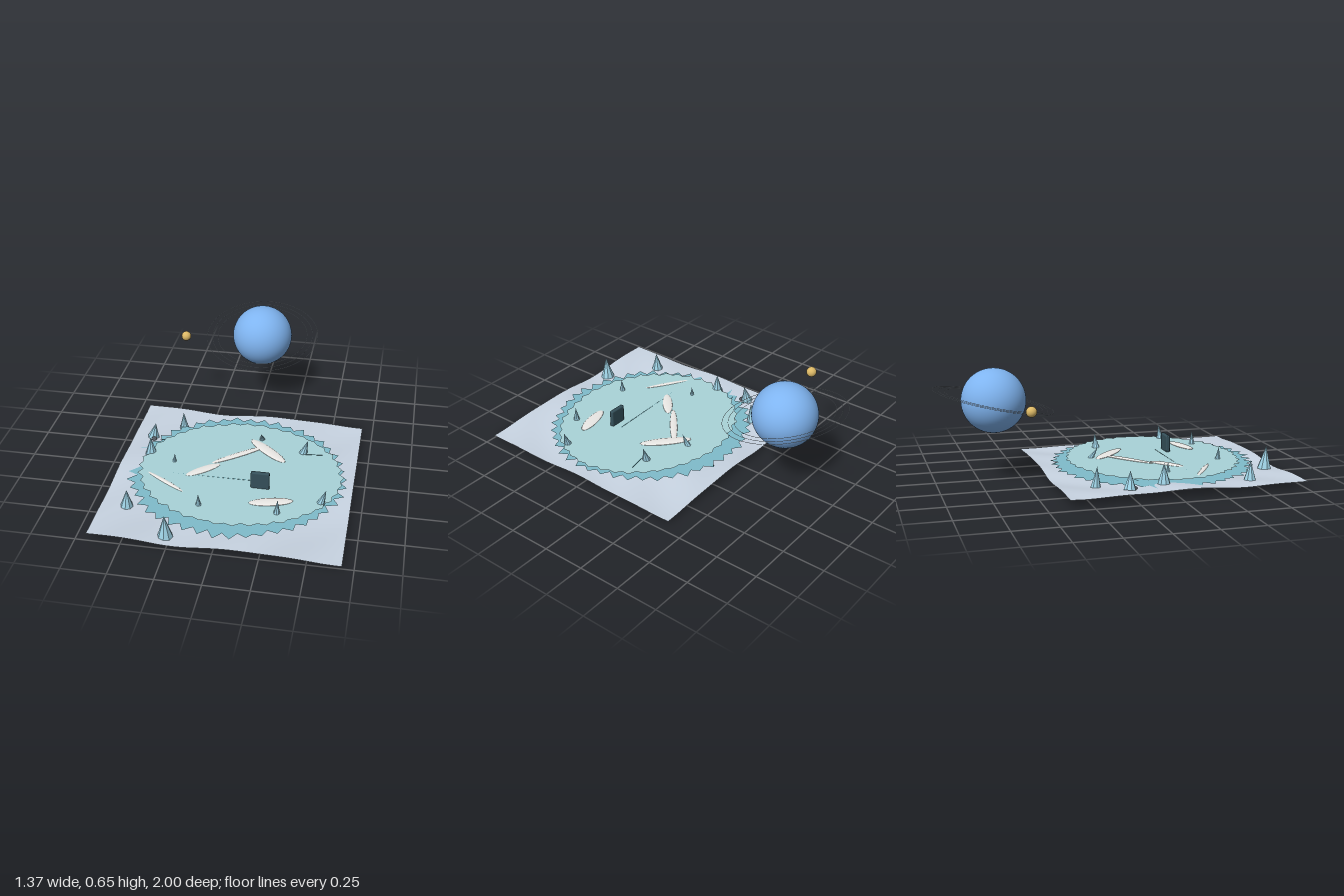
import * as THREE from 'three';
import { RoundedBoxGeometry } from 'three/addons/geometries/RoundedBoxGeometry.js';

const mat = (color, extra = {}) => new THREE.MeshStandardMaterial({ color, ...extra });
const UP = new THREE.Vector3(0, 1, 0);

function seeded(seed) {
  return () => {
    seed = (seed * 16807) % 2147483647;
    return seed / 2147483647;
  };
}

// Height of the snow field
const groundY = (x, z) => 0.033 - 0.008 * x + 0.01 * Math.cos(7.5 * (x - 0.2))
  + 0.006 * Math.cos(7 * (z - 0.25)) + 0.003 * Math.sin(14 * (x + z));

// Flat sheet with a jagged outline
function jaggedSheet(rx, rz, jitter, count, seed) {
  const rnd = seeded(seed);
  const shape = new THREE.Shape();
  for (let i = 0; i < count; i++) {
    const a = (i / count) * Math.PI * 2;
    const k = 1 + (i % 2 ? 1 : -1) * jitter * (0.3 + 0.7 * rnd());
    const x = Math.cos(a) * rx * k, y = Math.sin(a) * rz * k;
    i ? shape.lineTo(x, y) : shape.moveTo(x, y);
  }
  return new THREE.ShapeGeometry(shape).rotateX(-Math.PI / 2);
}

export function createModel() {
  const model = new THREE.Group();
  const add = (name, geometry, material, x = 0, y = 0, z = 0, parent = model) => {
    const mesh = new THREE.Mesh(geometry, material);
    mesh.name = name;
    mesh.position.set(x, y, z);
    parent.add(mesh);
    return mesh;
  };
  const group = (name) => {
    const g = new THREE.Group();
    g.name = name;
    model.add(g);
    return g;
  };

  // Rolling snow field
  const ground = new THREE.PlaneGeometry(1.372, 1.372, 60, 60).rotateX(-Math.PI / 2).translate(0, 0, 0.314);
  const p = ground.attributes.position;
  for (let i = 0; i < p.count; i++) p.setY(i, groundY(p.getX(i), p.getZ(i)));
  ground.computeVertexNormals();
  add('snowField', ground, mat(0xc8d4e2, { side: THREE.DoubleSide }));

  // Frozen lake: darker rim sheet below, pale sheet above
  add('iceRim', jaggedSheet(0.615, 0.59, 0.055, 90, 11),
    mat(0x7fbccb, { side: THREE.DoubleSide }), 0.01, 0.051, 0.305);
  const sheet = add('iceSheet', jaggedSheet(0.585, 0.51, 0.03, 80, 29),
    mat(0xa9d3d8, { side: THREE.DoubleSide }), 0.03, 0.071, 0.31);
  sheet.rotation.z = -0.008;

  // Ice spires: base x, base z, tip x, tip y, tip z, radius
  const spires = group('iceSpires');
  const ice = mat(0x9fd3e6, { flatShading: true });
  [
    [-0.41, -0.16, -0.41, 0.145, -0.15, 0.03],
    [-0.57, -0.01, -0.55, 0.145, 0.0, 0.036],
    [-0.53, 0.2, -0.53, 0.17, 0.2, 0.037],
    [-0.54, 0.71, -0.535, 0.15, 0.715, 0.036],
    [-0.27, 0.92, -0.27, 0.163, 0.93, 0.043],
    [0.355, 0.05, 0.39, 0.155, 0.05, 0.033],
    [0.51, 0.53, 0.55, 0.15, 0.53, 0.033],
    [-0.14, 0.67, -0.14, 0.145, 0.68, 0.027],
    [0.295, 0.67, 0.3, 0.153, 0.67, 0.026],
    [-0.37, 0.28, -0.365, 0.13, 0.28, 0.02],
    [0.1, -0.07, 0.1, 0.13, -0.01, 0.025],
  ].forEach(([bx, bz, tx, ty, tz, r]) => {
    const base = new THREE.Vector3(bx, groundY(bx, bz), bz);
    const axis = new THREE.Vector3(tx, ty, tz).sub(base);
    const h = axis.length();
    const cone = add('iceSpire', new THREE.ConeGeometry(r, h, 8).translate(0, h / 2, 0), ice,
      base.x, base.y, base.z, spires);
    cone.quaternion.setFromUnitVectors(UP, axis.normalize());
  });

  // Boulders half sunk in the snow: x, z, radius, colour
  const boulders = group('boulders');
  [
    [0.445, 0.31, 0.024, 0x5a6068], [0.53, 0.33, 0.016, 0x5a6068],
    [0.14, -0.26, 0.013, 0x5a6068], [0.1, 0.15, 0.016, 0x5a6068],
    [0, 0.2, 0.02, 0x4f9cb8], [-0.365, 0.62, 0.022, 0x4f9cb8],
    [-0.56, 0.02, 0.018, 0x5a6068], [0.1, 0.7, 0.014, 0x5a6068],
  ].forEach(([x, z, r, c]) =>
    add('boulder', new THREE.IcosahedronGeometry(r, 1), mat(c, { flatShading: true }),
      x, groundY(x, z), z, boulders));

  // Drifts lying on the ice: start x, z, end x, z, half width
  const drifts = group('snowDrifts');
  const white = mat(0xebe9e6);
  [
    [0.04, -0.03, 0.27, 0.18, 0.036],
    [0.13, 0.03, -0.15, 0.26, 0.022],
    [-0.1, 0.26, -0.27, 0.41, 0.03],
    [-0.5, 0.41, -0.25, 0.57, 0.014],
    [0.13, 0.61, 0.37, 0.55, 0.037],
  ].forEach(([x0, z0, x1, z1, w]) => {
    const len = Math.hypot(x1 - x0, z1 - z0) / 2;
    const drift = add('snowDrift', new THREE.SphereGeometry(1, 28, 14), white,
      (x0 + x1) / 2, 0.073, (z0 + z1) / 2, drifts);
    drift.scale.set(len, 0.007, w);
    drift.rotation.y = -Math.atan2(z1 - z0, x1 - x0);
  });

  // Fine cracks in the ice
  const cracks = group('iceCracks');
  const dark = mat(0x3f7f8c);
  [
    [-0.43, 0.4, 0.2, 0.39], [0.38, 0.075, 0.48, 0.06],
    [-0.51, 0.06, -0.43, 0.04], [-0.48, 0.55, -0.36, 0.56],
  ].forEach(([x0, z0, x1, z1]) => {
    const path = new THREE.LineCurve3(new THREE.Vector3(x0, 0.073, z0), new THREE.Vector3(x1, 0.07, z1));
    add('iceCrack', new THREE.TubeGeometry(path, 1, 0.0015, 5), dark, 0, 0, 0, cracks);
  });

  // Standing slab
  add('slab', new RoundedBoxGeometry(0.107, 0.135, 0.026, 3, 0.008), mat(0x35505a), 0.168, 0.1035, 0.448);

  // Ringed planet and its moon
  const planet = group('ringedPlanet');
  planet.position.set(0, 0.47, -0.655);
  add('planet', new THREE.SphereGeometry(0.187, 64, 40), mat(0x7fb4f0), 0, 0, 0, planet);
  [0.285, 0.319, 0.353].forEach((r) => {
    const ring = add('planetRing', new THREE.TorusGeometry(r, 0.0012, 6, 128), mat(0xb8c4d0), 0, 0, 0, planet);
    ring.rotation.x = Math.PI / 2 + 0.213;
  });
  add('moon', new THREE.SphereGeometry(0.03, 32, 20), mat(0xdcb866), -0.47, 0.484, -0.53);

  return model;
}
